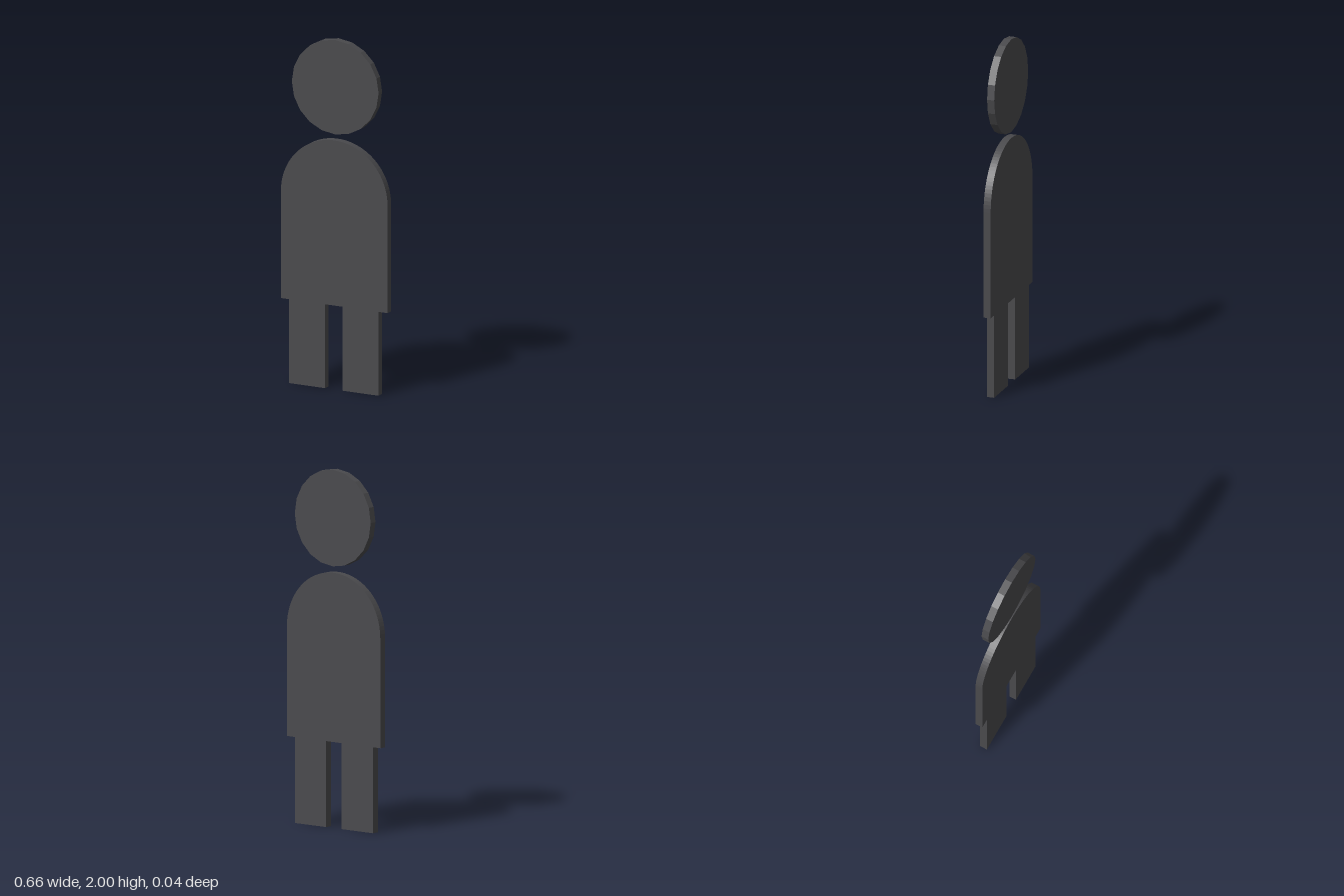
import * as THREE from 'three';

const DEPTH = 0.042;

export function createModel() {
  const group = new THREE.Group();
  const material = new THREE.MeshStandardMaterial({ color: 0x4a4a4d, flatShading: true });

  // Head: flat 20-sided disc facing front
  const headGeometry = new THREE.CylinderGeometry(0.27, 0.27, DEPTH, 20);
  headGeometry.rotateX(Math.PI / 2);
  const head = new THREE.Mesh(headGeometry, material);
  head.name = 'head';
  head.position.set(0.006, 1.73, 0);
  group.add(head);

  // Torso and legs: one outline with a round shoulder arch
  const outline = new THREE.Shape();
  outline.moveTo(-0.28, 0);
  outline.lineTo(-0.057, 0);
  outline.lineTo(-0.057, 0.48);
  outline.lineTo(0.053, 0.48);
  outline.lineTo(0.053, 0);
  outline.lineTo(0.276, 0);
  outline.lineTo(0.276, 0.48);
  outline.lineTo(0.332, 0.48);
  outline.lineTo(0.332, 1.093);
  outline.absarc(0, 1.093, 0.332, 0, Math.PI, false);
  outline.lineTo(-0.332, 0.48);
  outline.lineTo(-0.28, 0.48);
  outline.closePath();

  const bodyGeometry = new THREE.ExtrudeGeometry(outline, {
    depth: DEPTH, bevelEnabled: false, curveSegments: 24,
  });
  bodyGeometry.translate(0, 0, -DEPTH / 2);
  const body = new THREE.Mesh(bodyGeometry, material);
  body.name = 'torsoAndLegs';
  group.add(body);

  return group;
}
